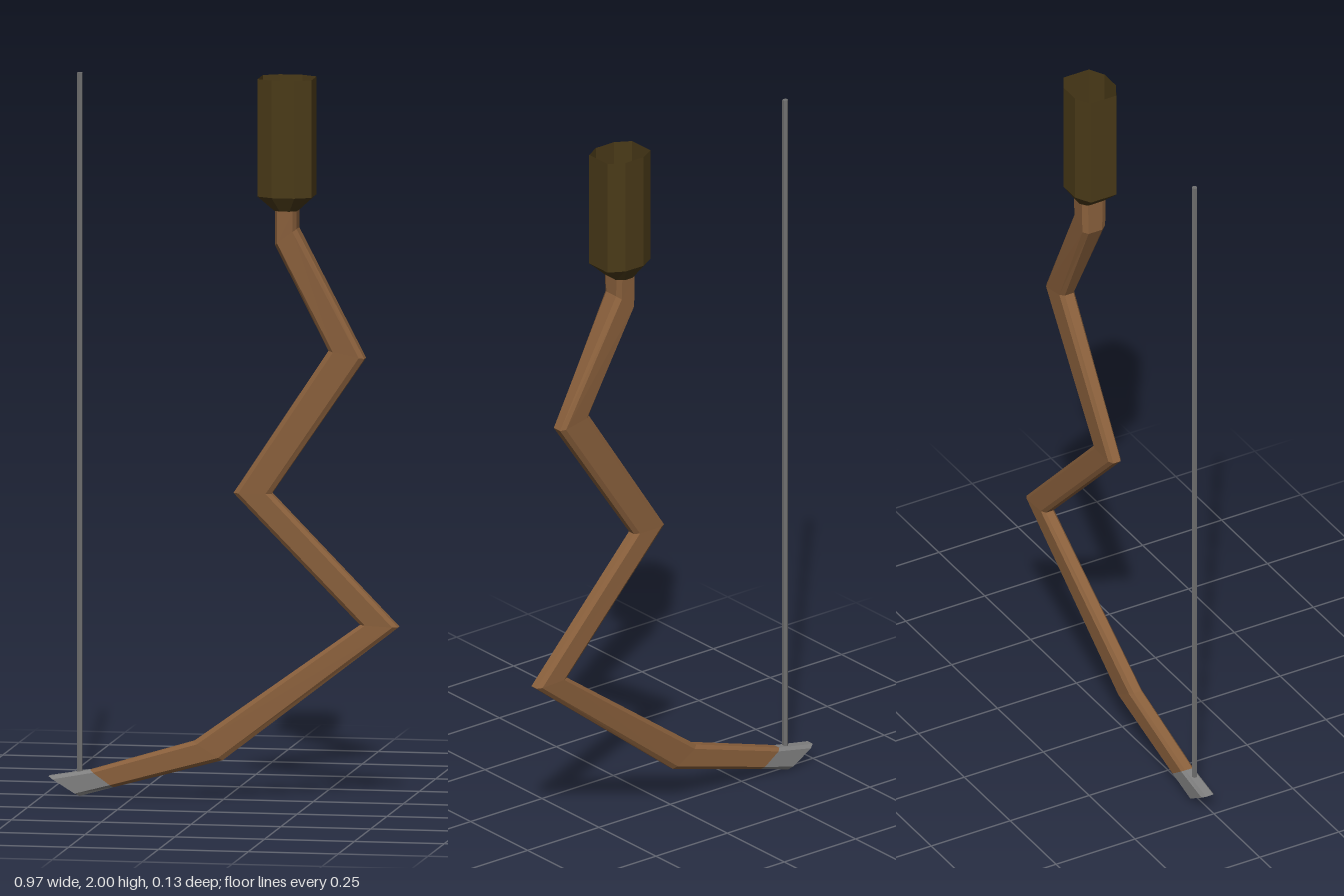
import * as THREE from 'three';

// Octagonal tube through stations [leftX, leftY, rightX, rightY, z centre, half depth],
// listed from top to bottom; cu and cv are the chamfer fractions across and in depth.
function loft(stations, cu, cv, capEnd = false) {
  const profile = [
    [0, -1 + 2 * cv], [cu, -1], [1 - cu, -1], [1, -1 + 2 * cv],
    [1, 1 - 2 * cv], [1 - cu, 1], [cu, 1], [0, 1 - 2 * cv],
  ];
  const n = profile.length, pos = [], idx = [];
  for (const [ax, ay, bx, by, z, d] of stations) {
    for (const [u, v] of profile) pos.push(ax + (bx - ax) * u, ay + (by - ay) * u, z + d * v);
  }
  for (let s = 0; s < stations.length - 1; s++) {
    for (let k = 0; k < n; k++) {
      const a = s * n + k, b = s * n + (k + 1) % n;
      idx.push(a, b, b + n, a, b + n, a + n);
    }
  }
  if (capEnd) {
    const o = (stations.length - 1) * n;
    for (let k = 1; k < n - 1; k++) idx.push(o, o + k, o + k + 1);
  }
  const indexed = new THREE.BufferGeometry();
  indexed.setAttribute('position', new THREE.Float32BufferAttribute(pos, 3));
  indexed.setIndex(idx);
  const g = indexed.toNonIndexed();
  g.computeVertexNormals();
  return g;
}

export function createModel() {
  const group = new THREE.Group();
  const add = (name, geometry, color) => {
    const material = new THREE.MeshStandardMaterial({ color, flatShading: true, side: THREE.DoubleSide });
    const mesh = new THREE.Mesh(geometry, material);
    mesh.name = name;
    group.add(mesh);
  };

  // Hollow grip, tapering in at its lower end
  add('grip', loft([
    [0.102, 2, 0.252, 2, 0, 0.065],
    [0.102, 1.675, 0.252, 1.675, 0, 0.065],
    [0.145, 1.635, 0.209, 1.635, 0, 0.039],
  ], 0.29, 0.19), 0x4a3a18);

  // Zigzag wooden limb
  const limbEnd = [-0.37, 0.073, -0.305, 0.027, -0.004, 0.019];
  add('limb', loft([
    [0.147, 1.635, 0.207, 1.635, 0, 0.038],
    [0.147, 1.54, 0.207, 1.585, 0, 0.036],
    [0.295, 1.25, 0.395, 1.23, 0.003, 0.023],
    [0.03, 0.85, 0.135, 0.85, 0.001, 0.019],
    [0.38, 0.492, 0.486, 0.487, -0.01, 0.019],
    [-0.082, 0.16, 0, 0.11, 0.001, 0.02],
    limbEnd,
  ], 0.14, 0.2), 0x8a603c);

  // Metal tip that holds the string
  add('limbTip', loft([limbEnd, [-0.486, 0.053, -0.4, 0, -0.005, 0.019]], 0.14, 0.2, true), 0x808080);

  // Taut string
  const string = new THREE.CylinderGeometry(0.008, 0.008, 1.95, 6);
  string.translate(-0.4, 1.025, -0.003);
  add('string', string, 0x707070);

  return group;
}
